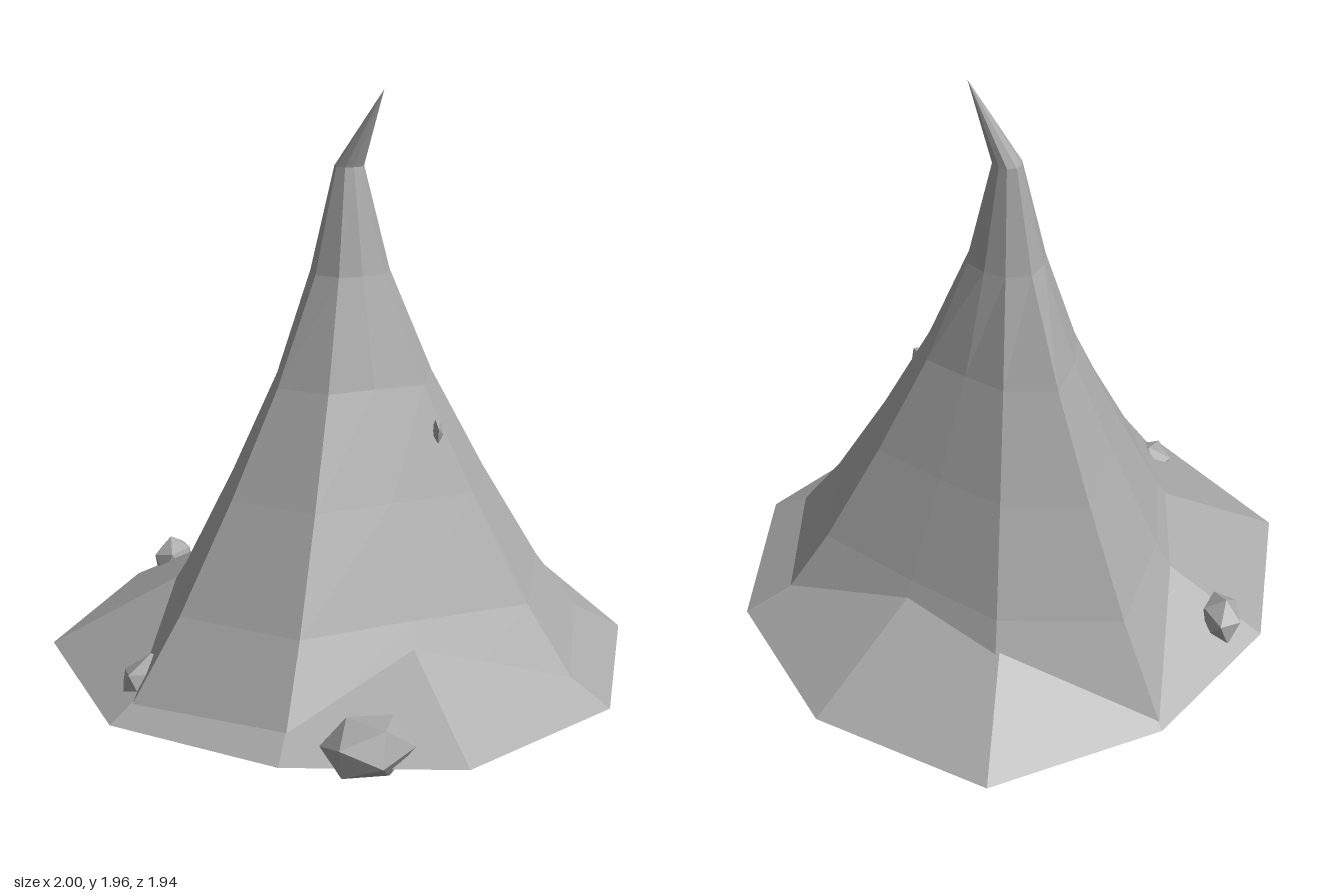
import * as THREE from 'three';

const stone = new THREE.MeshStandardMaterial({ color: 0xa8a8a8, flatShading: true });
stone.name = 'grey stone';

const SIDES = 10;

// Joins equal rings of points (bottom first, seen from +y turning from +x to +z).
function loft(rings) {
  const pos = [];
  for (let k = 0; k < rings.length - 1; k++) {
    for (let i = 0; i < SIDES; i++) {
      const j = (i + 1) % SIDES;
      const a = rings[k][i], b = rings[k][j], c = rings[k + 1][j], d = rings[k + 1][i];
      pos.push(...a, ...d, ...b);
      if (c !== d) pos.push(...b, ...d, ...c);
    }
  }
  const geo = new THREE.BufferGeometry();
  geo.setAttribute('position', new THREE.Float32BufferAttribute(pos, 3));
  geo.computeVertexNormals();
  return geo;
}

const point = p => Array(SIDES).fill(p);

function addMesh(group, name, geo) {
  const mesh = new THREE.Mesh(geo, stone);
  mesh.name = name;
  group.add(mesh);
  return mesh;
}

export function createModel() {
  const group = new THREE.Group();
  group.name = 'rockSpire';

  // Low, uneven skirt with a flat underside
  const rim = [
    [1, 0.01], [0.83, 0.59], [0.33, 0.92], [-0.24, 0.87], [-0.76, 0.59],
    [-1, 0.01], [-0.74, -0.55], [-0.26, -0.89], [0.35, -0.98], [0.83, -0.56],
  ].map(([x, z]) => [x, 0.06, z]);
  addMesh(group, 'skirt', loft([point([0, 0.06, 0]), rim, point([0, 0.6, 0])]));

  // Concave spire: each corner has its own reach, which evens out near the top
  const reach = [1, 1.04, 0.8, 0.97, 1.07, 0.85, 0.84, 1.07, 0.9, 0.78];
  const angle = [0, 36, 72, 107.5, 143.5, 180, 216, 251.8, 288, 324];
  const profile = [[0.06, 0.87], [0.35, 0.66], [0.69, 0.46], [1.03, 0.28], [1.38, 0.135], [1.72, 0.05]];
  const rings = profile.map(([y, r]) => reach.map((s, i) => {
    const even = y > 1.2 ? 0.5 : 1;
    const a = THREE.MathUtils.degToRad(angle[i]);
    const d = r * (1 + (s - 1) * even);
    return [0.03 + d * Math.cos(a), y, 0.01 + d * Math.sin(a)];
  }));
  addMesh(group, 'spire', loft(rings));

  // Bent tip
  addMesh(group, 'tip', loft([rings[rings.length - 1], point([0.135, 1.97, 0.095])]));

  // Stones half sunk into the skirt, and a sliver on one ridge: centre, half size, turn
  const stones = [
    ['frontStone', [0.03, 0.11, 0.85], [0.15, 0.1, 0.12], 0.4],
    ['rightStone', [-0.64, 0.11, 0.42], [0.11, 0.1, 0.09], 0.9],
    ['backStone', [-0.6, 0.135, -0.51], [0.075, 0.09, 0.1], -0.4],
    ['leftStone', [0.67, 0.09, 0.38], [0.08, 0.075, 0.1], 0.2],
    ['ridgeSliver', [0.305, 0.89, 0.235], [0.018, 0.05, 0.025], 0],
  ];
  for (const [name, centre, half, turn] of stones) {
    const geo = new THREE.IcosahedronGeometry(1, 0);
    geo.rotateX(turn + 0.3);
    geo.rotateZ(turn);
    geo.scale(...half);
    geo.rotateY(turn * 0.6);
    addMesh(group, name, geo).position.set(...centre);
  }

  return group;
}
